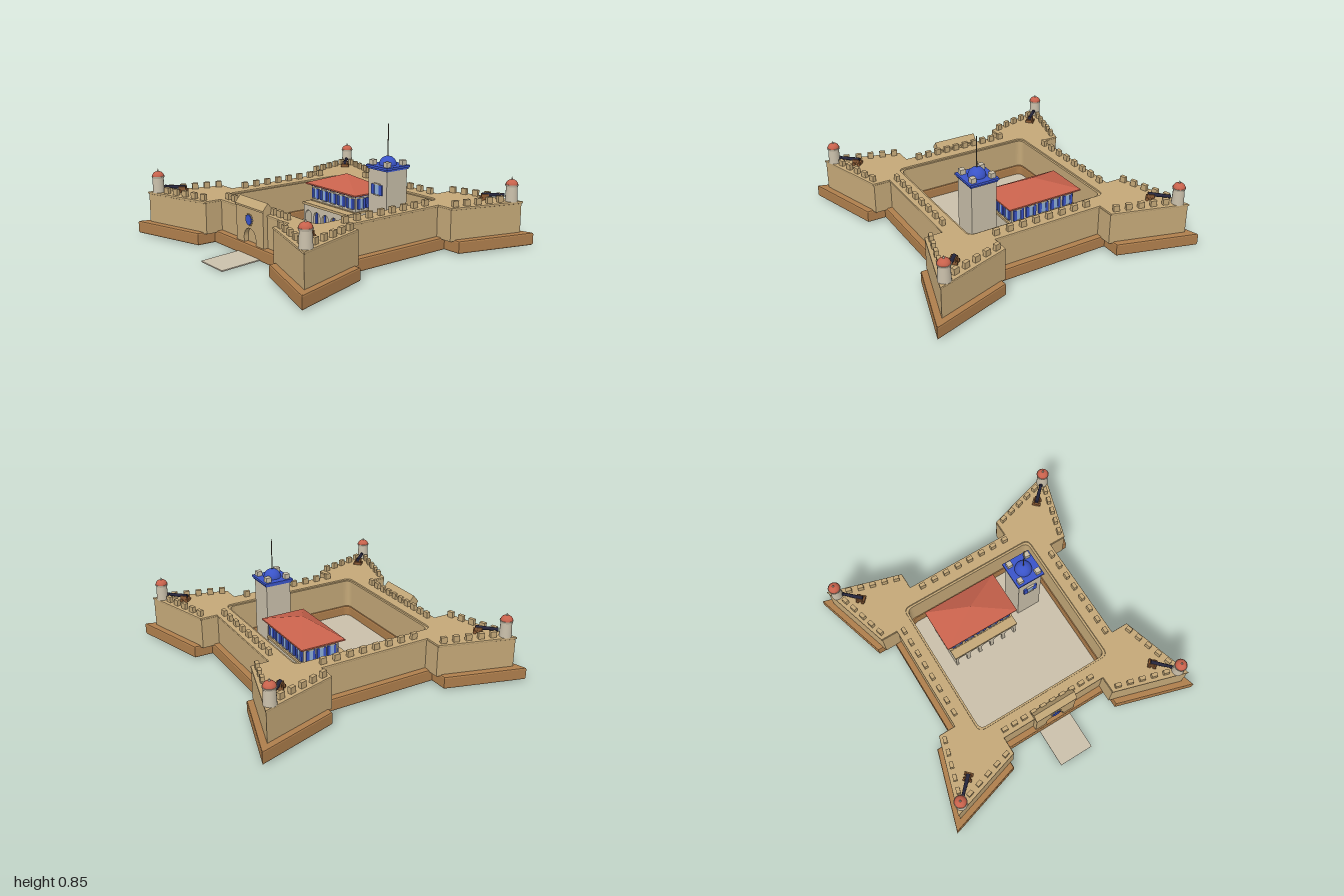
import * as THREE from 'three';

const mat = (name, color) => Object.assign(new THREE.MeshStandardMaterial({ color }), { name });
const M = {
  wall: mat('sandstone', 0xc4a878),
  base: mat('brown footing', 0xae7e4c),
  stone: mat('pale stone', 0xc9bfaa),
  roof: mat('red tile', 0xc8624c),
  blue: mat('blue paint', 0x3a54c8),
  pane: mat('window glass', 0x8fb0d8),
  iron: mat('dark iron', 0x24243a),
  wood: mat('carriage wood', 0x8a5a34),
  pole: mat('pole', 0x6b6250),
};

function add(parent, name, geo, material, x = 0, y = 0, z = 0, ry = 0) {
  const m = new THREE.Mesh(geo, material);
  m.name = name;
  m.position.set(x, y, z);
  m.rotation.y = ry;
  parent.add(m);
  return m;
}
const box = (w, h, d) => new THREE.BoxGeometry(w, h, d);
const cyl = (a, b, h, n = 20) => new THREE.CylinderGeometry(a, b, h, n);
const dome = (r, h) => new THREE.SphereGeometry(r, 24, 10, 0, Math.PI * 2, 0, Math.PI / 2).scale(1, h / r, 1);

// Four-bastion star outline with a rounded courtyard opening
const TIP = 0.935, SH = 0.775, FL = 0.405, CUR = 0.65;
function starSlab(scale, hole, y0, y1, bevel) {
  const quarter = [[-FL, CUR], [FL, CUR], [FL, SH], [TIP, TIP], [SH, FL], [CUR, FL]];
  const pts = [];
  for (let k = 0; k < 4; k++) {
    const a = -k * Math.PI / 2, c = Math.cos(a), s = Math.sin(a);
    for (const [x, y] of quarter.slice(1, 6)) pts.push(new THREE.Vector2((x * c - y * s) * scale, (x * s + y * c) * scale));
  }
  const shape = new THREE.Shape(pts), r = 0.05, h = hole, p = new THREE.Path();
  p.moveTo(-h + r, -h);
  p.lineTo(h - r, -h); p.quadraticCurveTo(h, -h, h, -h + r);
  p.lineTo(h, h - r); p.quadraticCurveTo(h, h, h - r, h);
  p.lineTo(-h + r, h); p.quadraticCurveTo(-h, h, -h, h - r);
  p.lineTo(-h, -h + r); p.quadraticCurveTo(-h, -h, -h + r, -h);
  shape.holes.push(p);
  const g = new THREE.ExtrudeGeometry(shape, {
    depth: y1 - y0 - 2 * bevel, bevelEnabled: bevel > 0, bevelThickness: bevel,
    bevelSize: bevel, bevelOffset: -bevel, bevelSegments: 2, curveSegments: 8,
  });
  return g.rotateX(-Math.PI / 2).translate(0, y0 + bevel, 0);
}

// Wall with arched notches cut from its foot
function arcadeGeo(w, h, depth, centres, r, spring) {
  const s = new THREE.Shape();
  s.moveTo(-w / 2, 0);
  for (const c of centres) {
    s.lineTo(c - r, 0); s.lineTo(c - r, spring);
    s.absarc(c, spring, r, Math.PI, 0, true);
    s.lineTo(c + r, 0);
  }
  s.lineTo(w / 2, 0); s.lineTo(w / 2, h); s.lineTo(-w / 2, h);
  return new THREE.ExtrudeGeometry(s, { depth, bevelEnabled: false, curveSegments: 14 });
}

// Shuttered window whose back lies on local z = 0
function shutteredWindow(parent, x, y, z, ry, w, h) {
  const g = new THREE.Group();
  g.name = 'window';
  g.position.set(x, y, z);
  g.rotation.y = ry;
  add(g, 'pane', box(w * 0.42, h, 0.008), M.pane, 0, 0, 0.004);
  for (const s of [-1, 1]) add(g, 'shutter', box(w * 0.29, h, 0.012), M.blue, s * w * 0.355, 0, 0.006);
  add(g, 'lintel', box(w * 0.56, h * 0.12, 0.014), M.stone, 0, h * 0.56, 0.007);
  add(g, 'sill', box(w * 0.56, h * 0.1, 0.014), M.stone, 0, -h * 0.53, 0.007);
  parent.add(g);
}

function merlons(parent) {
  const geo = box(0.042, 0.045, 0.027), y = 0.342;
  const counts = [10, 8, 8, 8];
  for (let k = 0; k < 4; k++) {
    const side = new THREE.Group();
    side.name = 'parapet';
    side.rotation.y = k * Math.PI / 2;
    parent.add(side);
    // curtain
    const n = counts[k];
    for (let i = 0; i < n; i++) add(side, 'merlon', geo, M.wall, -0.375 + 0.7 * i / (n - 1), y, 0.61);
    // both bastion faces on this side
    for (const s of [-1, 1]) for (let i = 0; i < 5; i++) {
      const x = 0.46 + 0.085 * i;
      add(side, 'merlon', geo, M.wall, s * x, y, 0.76 + (x - 0.46) * 0.29, -s * 0.29);
    }
  }
}

// Corner turret and cannon, aimed along +z
function bastion(parent, ry) {
  const g = new THREE.Group();
  g.name = 'bastion';
  g.rotation.y = ry;
  const R = 0.885 * Math.SQRT2;
  add(g, 'turret', cyl(0.038, 0.043, 0.11), M.stone, 0, 0.375, R);
  add(g, 'turretCornice', cyl(0.046, 0.042, 0.014), M.stone, 0, 0.432, R);
  add(g, 'turretDome', dome(0.042, 0.036), M.roof, 0, 0.438, R);
  add(g, 'turretFinial', new THREE.ConeGeometry(0.009, 0.024, 10), M.stone, 0, 0.481, R);
  const C = 0.755 * Math.SQRT2;
  add(g, 'carriage', box(0.042, 0.022, 0.06), M.wood, 0, 0.338, C);
  for (const s of [-1, 1]) {
    add(g, 'carriageCheek', box(0.009, 0.022, 0.05), M.wood, s * 0.016, 0.356, C + 0.005);
    for (const d of [-0.018, 0.02]) add(g, 'wheel', cyl(0.012, 0.012, 0.009, 12).rotateZ(Math.PI / 2), M.wood, s * 0.026, 0.334, C + d);
  }
  const barrel = cyl(0.01, 0.015, 0.15, 14).rotateX(Math.PI / 2);
  add(g, 'barrel', barrel, M.iron, 0, 0.362, C + 0.06);
  add(g, 'muzzle', cyl(0.013, 0.013, 0.012, 14).rotateX(Math.PI / 2), M.iron, 0, 0.362, C + 0.13);
  parent.add(g);
}

function gate(parent) {
  const g = new THREE.Group();
  g.name = 'gatehouse';
  add(g, 'gateWall', arcadeGeo(0.32, 0.265, 0.063, [0], 0.07, 0.055), M.wall, 0, 0.08, 0.62);
  const tri = new THREE.Shape([[0.608, 0.34], [0.688, 0.34], [0.688, 0.352], [0.648, 0.4], [0.608, 0.352]].map(p => new THREE.Vector2(...p)));
  const cap = new THREE.ExtrudeGeometry(tri, { depth: 0.33, bevelEnabled: false }).rotateY(-Math.PI / 2);
  add(g, 'gateCap', cap, M.wall, 0.165);
  add(g, 'medallion', cyl(0.034, 0.034, 0.012, 24).rotateX(Math.PI / 2), M.blue, 0, 0.265, 0.687);
  for (let i = 0; i < 12; i++) {
    const a = i * Math.PI / 6;
    add(g, 'medallionBead', new THREE.SphereGeometry(0.006, 8, 6), M.wall, 0.037 * Math.cos(a), 0.265 + 0.037 * Math.sin(a), 0.685);
  }
  const ramp = add(g, 'ramp', box(0.26, 0.008, 0.36), M.stone, 0, 0.015, 0.8);
  ramp.rotation.x = 0.055;
  parent.add(g);
}

function house(parent) {
  const g = new THREE.Group();
  g.name = 'house';
  g.position.set(-0.128, 0, -0.255);
  add(g, 'lowerStorey', box(0.51, 0.18, 0.27), M.stone, 0, 0.11, 0);
  add(g, 'upperStorey', box(0.5, 0.14, 0.26), M.stone, 0, 0.265, 0);
  // front arcade carrying the balcony
  const xs = [-2, -1, 0, 1, 2].map(i => i * 0.1);
  add(g, 'arcade', arcadeGeo(0.51, 0.165, 0.018, xs, 0.037, 0.09), M.stone, 0, 0.02, 0.187);
  for (const s of [-1, 1]) add(g, 'arcadeEnd', box(0.018, 0.165, 0.06), M.stone, s * 0.246, 0.1025, 0.16);
  add(g, 'balcony', box(0.525, 0.018, 0.085), M.wall, 0, 0.194, 0.17);
  add(g, 'stringCourse', box(0.525, 0.015, 0.285), M.wall, 0, 0.2, 0);
  for (const x of xs) {
    add(g, 'door', box(0.045, 0.095, 0.008), M.blue, x, 0.07, 0.138);
    shutteredWindow(g, x, 0.265, 0.13, 0, 0.078, 0.075);
    shutteredWindow(g, x, 0.265, -0.13, Math.PI, 0.078, 0.075);
  }
  for (const s of [-1, 1]) for (const z of [-0.08, 0, 0.08]) {
    shutteredWindow(g, s * 0.25, 0.265, z, s * Math.PI / 2, 0.068, 0.075);
  }
  add(g, 'frieze', box(0.515, 0.014, 0.275), M.blue, 0, 0.323, 0);
  add(g, 'eaves', box(0.575, 0.01, 0.33), M.roof, 0, 0.333, 0);
  const roof = new THREE.ConeGeometry(Math.SQRT1_2, 0.095, 4).rotateY(Math.PI / 4).scale(0.575, 1, 0.33).toNonIndexed();
  roof.computeVertexNormals();
  add(g, 'hipRoof', roof, M.roof, 0, 0.3855, 0);
  parent.add(g);
}

function tower(parent) {
  const g = new THREE.Group();
  g.name = 'tower';
  g.position.set(0.312, 0, -0.255);
  add(g, 'towerShaft', box(0.186, 0.53, 0.186), M.stone, 0, 0.28, 0);
  add(g, 'towerCornice', box(0.2, 0.012, 0.2), M.blue, 0, 0.545, 0);
  add(g, 'towerCap', box(0.215, 0.016, 0.215), M.blue, 0, 0.559, 0);
  for (const x of [-1, 1]) for (const z of [-1, 1]) add(g, 'towerMerlon', box(0.038, 0.035, 0.038), M.stone, x * 0.072, 0.584, z * 0.072);
  add(g, 'dome', dome(0.062, 0.062), M.blue, 0, 0.566, 0);
  add(g, 'flagpole', cyl(0.003, 0.004, 0.225, 8), M.pole, 0, 0.7375, 0);
  shutteredWindow(g, 0, 0.403, 0.093, 0, 0.105, 0.07);
  parent.add(g);
}

export function createModel() {
  const model = new THREE.Group();
  model.name = 'starFort';
  // ramparts
  add(model, 'footing', starSlab(1 / TIP, 0.505, 0.01, 0.1, 0.012), M.base);
  add(model, 'rampart', starSlab(1, 0.515, 0.09, 0.31, 0), M.wall);
  add(model, 'cordon', starSlab(1.007, 0.53, 0.305, 0.322, 0.005), M.wall);
  add(model, 'courtyard', box(1.03, 0.012, 1.03), M.stone, 0, 0.02, 0);
  merlons(model);
  for (let k = 0; k < 4; k++) bastion(model, Math.PI / 4 + k * Math.PI / 2);
  gate(model);
  house(model);
  tower(model);
  return model;
}
